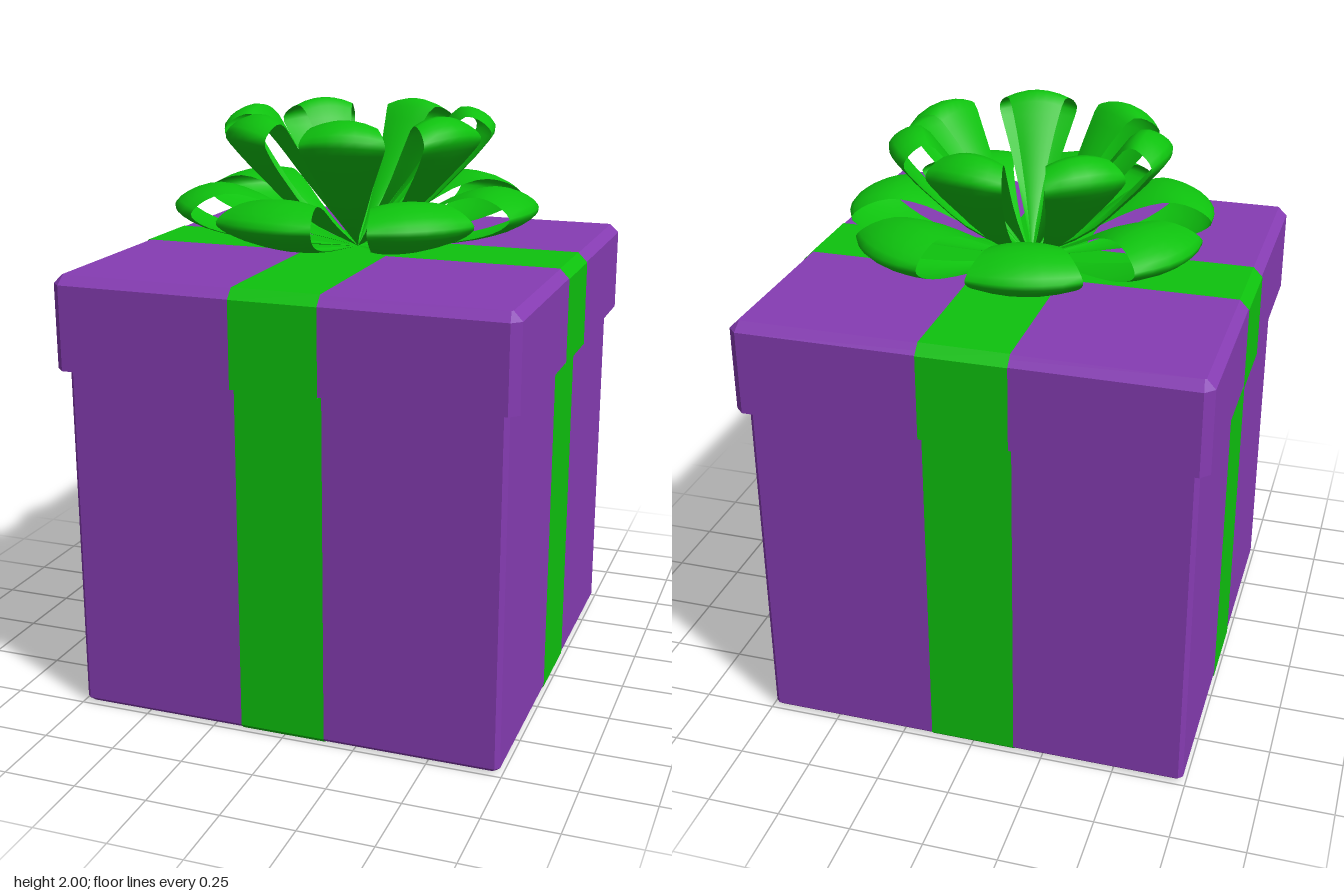
import * as THREE from 'three';

const purple = new THREE.MeshStandardMaterial({ color: 0x863cb3 });
purple.name = 'purple paper';
const green = new THREE.MeshStandardMaterial({ color: 0x0ec20e, side: THREE.DoubleSide });
green.name = 'green ribbon';

// Skins a list of equally long point rows; flat gives hard facets
function loft(rows, closed, flat) {
  const n = rows[0].length, index = [];
  for (let i = 0; i < rows.length - 1; i++) {
    for (let j = 0; j < (closed ? n : n - 1); j++) {
      const k = (j + 1) % n;
      const a = i * n + j, b = i * n + k, c = a + n, d = b + n;
      index.push(a, c, b, c, d, b);
    }
  }
  let geo = new THREE.BufferGeometry();
  geo.setAttribute('position', new THREE.Float32BufferAttribute(rows.flat(2), 3));
  geo.setIndex(index);
  if (flat) geo = geo.toNonIndexed();
  geo.computeVertexNormals();
  return geo;
}

function add(parent, name, geo, mat) {
  const mesh = new THREE.Mesh(geo, mat);
  mesh.name = name;
  parent.add(mesh);
  return mesh;
}

// Square ring with cut corners: height, half size, corner cut
function ring(y, h, c) {
  const s = h - c;
  return [[h, -s], [h, s], [s, h], [-s, h], [-h, s], [-h, -s], [-s, -h], [s, -h]]
    .map(([x, z]) => [x, y, z]);
}

// Strip of ribbon from x = a to x = b following a half profile of [z, y], mirrored in z
function band(half, a, b) {
  const path = [...half, ...half.map(([z, y]) => [-z, y]).reverse()];
  return loft(path.map(([z, y]) => [[b, y, z], [a, y, z]]), false, true);
}

// One bow loop along +x, widening outward and bulging along its middle
function bowLoop(profile, halfWidth, hub) {
  const curve = new THREE.CatmullRomCurve3(profile.map(([r, y]) => new THREE.Vector3(r, y, 0)));
  const reach = Math.max(...profile.map(p => p[0]));
  const rows = curve.getPoints(24).map(p => {
    const t = Math.max(0, p.x / reach), row = [];
    for (let j = -3; j <= 3; j++) {
      const w = j / 3, pull = 0.25 * w * w * t;
      row.push([
        p.x + (hub[0] - p.x) * pull,
        p.y + (hub[1] - p.y) * pull,
        w * halfWidth * Math.pow(t, 1.25),
      ]);
    }
    return row;
  });
  return loft(rows, false, false);
}

export function createModel() {
  const model = new THREE.Group();
  model.name = 'giftBox';
  const e = 0.003; // ribbon stands proud of the paper

  // Box and lid
  add(model, 'boxBody', loft([
    ring(e, 0, 0), ring(e, 0.725, 0.01), ring(0.018, 0.74, 0.015),
    ring(1.21, 0.74, 0.015),
  ], true, true), purple);
  add(model, 'lid', loft([
    ring(1.205, 0, 0), ring(1.205, 0.775, 0.03), ring(1.49, 0.775, 0.03),
    ring(1.52, 0.745, 0.005), ring(1.52, 0, 0),
  ], true, true), purple);

  // Flat ribbon crossing the box both ways
  const bodyPath = [[0.74 + e, 1.205], [0.74 + e, 0.018], [0.725, 0]];
  const lidPath = [[0.74, 1.205 - e], [0.775 + e, 1.205 - e], [0.775 + e, 1.49], [0.746, 1.52 + e]];
  for (const [side, a, b, turn] of [['front', -0.15, 0.145, 0], ['side', -0.13, 0.155, Math.PI / 2]]) {
    // the body path runs the other way round so that its outside faces out
    const body = bodyPath.map(([z, y]) => [-z, y]);
    add(model, side + 'BodyRibbon', band(body, a, b), green).rotation.y = turn;
    add(model, side + 'LidRibbon', band(lidPath, a, b), green).rotation.y = turn;
  }

  // Bow: two tiers of seven loops
  const tiers = [
    {
      name: 'lowerBowLoop', offset: -1, halfWidth: 0.182, hub: [0.43, 1.67],
      profile: [[0, 1.525], [0.25, 1.545], [0.46, 1.585], [0.585, 1.635], [0.63, 1.68],
        [0.58, 1.725], [0.47, 1.752], [0.35, 1.72], [0.2, 1.635], [0, 1.525]],
    },
    {
      name: 'upperBowLoop', offset: 180, halfWidth: 0.138, hub: [0.33, 1.88],
      profile: [[0, 1.525], [0.2, 1.635], [0.34, 1.77], [0.43, 1.87], [0.473, 1.94],
        [0.43, 1.985], [0.36, 2], [0.28, 1.91], [0.17, 1.75], [0, 1.525]],
    },
  ];
  const bow = new THREE.Group();
  bow.name = 'bow';
  model.add(bow);
  for (const tier of tiers) {
    const geo = bowLoop(tier.profile, tier.halfWidth, tier.hub);
    for (let i = 0; i < 7; i++) {
      add(bow, tier.name, geo, green).rotation.y =
        -THREE.MathUtils.degToRad(tier.offset + i * 360 / 7);
    }
  }
  return model;
}
